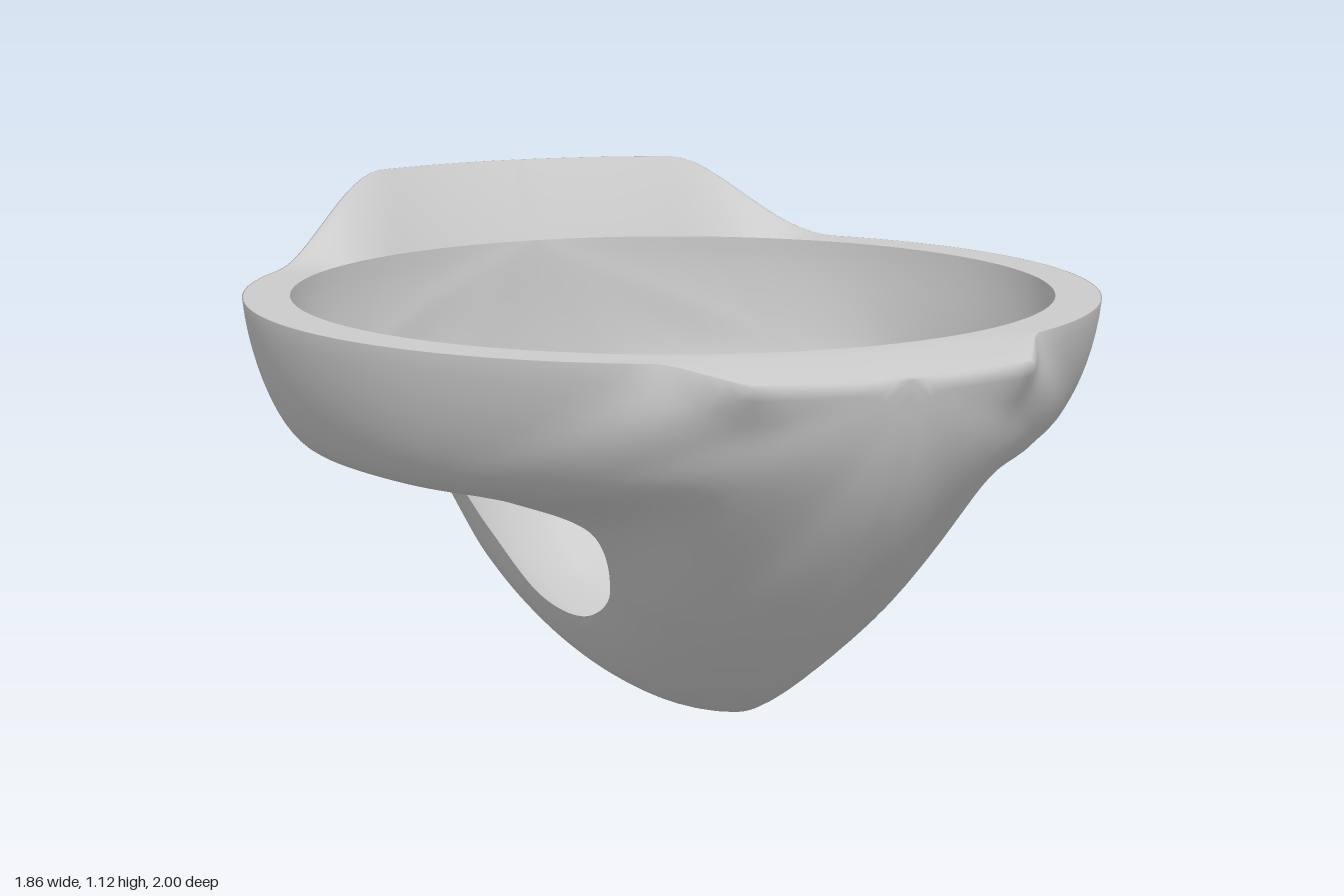
import * as THREE from 'three';
import { mergeVertices, mergeGeometries } from 'three/addons/utils/BufferGeometryUtils.js';

const AROUND = 192, ACROSS = 16;
const V = (x, y, z) => new THREE.Vector3(x, y, z);
const { clamp, smoothstep } = THREE.MathUtils;
const loop = pts => new THREE.CatmullRomCurve3(pts.map(p => V(...p)), true);
const keel = pts => new THREE.CatmullRomCurve3(pts.map(([y, z]) => V(0, y, z)));

// Each half is a ring of stations around the side opening:
// front centre -> along the rim -> back centre -> along the keel to the front.

// Edge of the side opening
const opening = loop([
  [.42, .54, .47], [.56, .6, .41], [.7, .62, .25], [.77, .62, -.05], [.71, .62, -.32], [.6, .61, -.48],
  [.44, .52, -.565], [.36, .45, -.53], [.31, .34, -.41], [.29, .245, -.14], [.29, .26, .12], [.33, .38, .36]]);

// Bulge of the outer and inner skins between border and opening
const outerBulge = loop([
  [.3, .7, .97], [.54, .63, .68], [.8, .62, .37], [.91, .62, -.06], [.8, .61, -.5], [.58, .55, -.85],
  [.47, .54, -.95], [.38, .41, -.91], [.29, .14, -.63], [.2, .02, -.18], [.18, .05, .2], [.24, .29, .61]]);
const innerBulge = loop([
  [.35, .66, .73], [.51, .68, .57], [.74, .72, .31], [.8, .72, -.05], [.74, .72, -.42], [.54, .67, -.72],
  [.42, .63, -.86], [.35, .43, -.83], [.28, .18, -.58], [.23, .085, -.17], [.23, .115, .2], [.28, .37, .56]]);

// Centre line of the strap, back to front, as [y, z]
const outerKeel = keel([
  [1.12, -1], [.95, -.995], [.75, -1], [.6, -.99], [.43, -.95], [.28, -.88], [.16, -.77], [.08, -.6], [.025, -.3],
  [.003, -.02], [.06, .3], [.17, .5], [.36, .7], [.55, .85], [.66, .92], [.78, .97], [.905, 1]]);
const innerKeel = keel([
  [.93, -.89], [.7, -.89], [.5, -.875], [.34, -.825], [.23, -.73], [.15, -.57], [.1, -.3], [.08, 0], [.13, .28],
  [.24, .46], [.42, .63], [.58, .73], [.75, .77], [.93, .78]]);

// Rim: circle with a raised crest at the back and a squared lip at the front
const crest = (x, c) => c < 0 ? .93 + .19 * (1 - smoothstep(x, .38, .72)) : .93;
function rimOuter(t) {
  const a = 2 * Math.PI * t, x = .93 * Math.sin(a), c = Math.cos(a);
  const lip = c > 0 ? clamp((.4 - x) / .1, 0, 1) : 0;
  return V(x, crest(x, c) - .025 * lip, -.06 + .94 * c + .12 * lip);
}
function rimMiddle(t) {
  const a = 2 * Math.PI * t, x = .93 * Math.sin(a), c = Math.cos(a);
  return V(x * .97, crest(x, c), -.06 + .912 * c);
}
function rimInner(t) {
  const a = 2 * Math.PI * t;
  return V(.83 * Math.sin(a), .93, -.055 + .835 * Math.cos(a));
}

// Grid of points made from rows, mirrored to both sides
function mirroredGrid(rows, flip) {
  return mergeGeometries([1, -1].map(side => {
    const n = rows[0].length, pos = [], index = [];
    for (const row of rows) for (const p of row) pos.push(Math.abs(p.x) < 1e-5 ? 0 : side * p.x, p.y, p.z);
    for (let i = 0; i < rows.length - 1; i++) for (let j = 0; j < n - 1; j++) {
      const a = i * n + j, b = a + 1, c = a + n, d = c + 1;
      if ((side > 0) !== flip) index.push(a, b, c, b, d, c);
      else index.push(a, c, b, b, c, d);
    }
    const g = new THREE.BufferGeometry();
    g.setAttribute('position', new THREE.Float32BufferAttribute(pos, 3));
    g.setIndex(index);
    return g;
  }));
}

// Skin swept from the border, over the bulge, to the opening.
// The border is averaged over a widening window so its corners melt away.
function skin(rim, centreLine, bulge, flip) {
  const border = t => {
    const u = (t + 1) % 1;
    return u <= .5 ? rim(u) : centreLine.getPointAt(2 * u - 1);
  };
  const rows = [];
  for (let i = 0; i <= AROUND; i++) {
    const t = (i % AROUND) / AROUND, row = [];
    const middle = bulge.getPoint(t), end = opening.getPoint(t);
    for (let j = 0; j <= ACROSS; j++) {
      const s = j / ACROSS, start = V(0, 0, 0);
      for (let k = -5; k <= 5; k++) start.addScaledVector(border(t + .14 * s * k / 5), 1 / 11);
      row.push(start.multiplyScalar((1 - s) ** 2)
        .addScaledVector(middle, 2 * s * (1 - s)).addScaledVector(end, s * s));
    }
    rows.push(row);
  }
  return mirroredGrid(rows, flip);
}

// Rim top with a narrow edge strip, rising into the crest
function rimTop() {
  const rows = [];
  for (let i = 0; i <= AROUND / 2; i++) {
    const [outer, middle, inner] = [rimOuter, rimMiddle, rimInner].map(f => f(i / AROUND));
    rows.push([outer, outer.clone().lerp(middle, .12), middle, inner]);
  }
  return mirroredGrid(rows, true);
}

export function createModel() {
  const group = new THREE.Group();
  const material = new THREE.MeshStandardMaterial({ color: 0xcccccc, side: THREE.DoubleSide });
  const add = (name, parts) => {
    const geometry = mergeVertices(mergeGeometries(parts), 1e-4);
    geometry.computeVertexNormals();
    const mesh = new THREE.Mesh(geometry, material);
    mesh.name = name;
    group.add(mesh);
  };
  add('outerShellAndRim', [skin(rimOuter, outerKeel, outerBulge, false), rimTop()]);
  add('innerShell', [skin(rimInner, innerKeel, innerBulge, true)]);
  return group;
}
